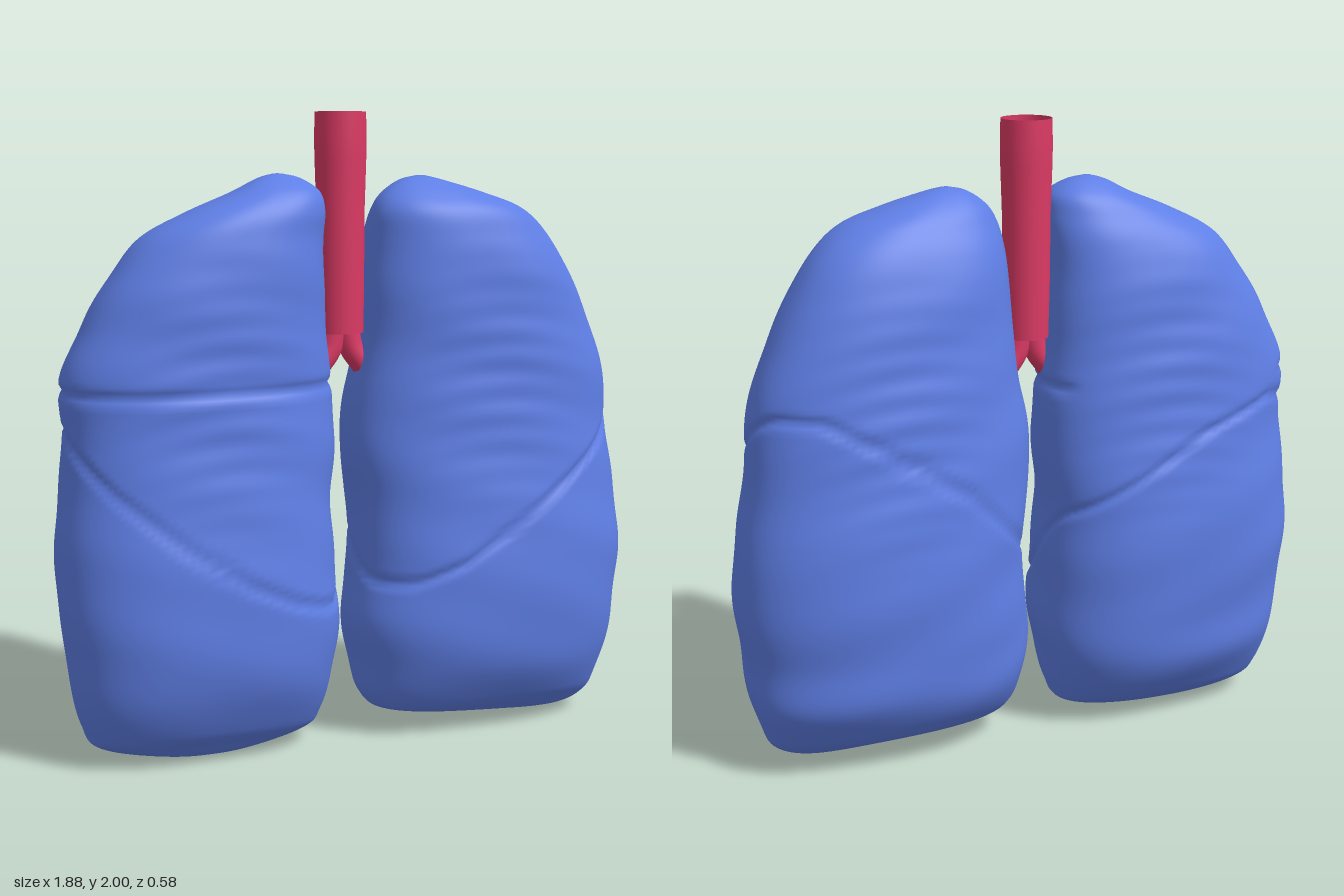
import * as THREE from 'three';

const ROWS = 195, SIDES = 120;

// Cross-section keys, bottom to top: [y, xMin, xMax, zBack, zFront]
const RIGHT_KEYS = [
  [0.005, -0.52, -0.48, 0.03, 0.06], [0.02, -0.66, -0.33, -0.04, 0.11], [0.06, -0.84, -0.15, -0.12, 0.15],
  [0.12, -0.88, -0.11, -0.18, 0.2], [0.25, -0.91, -0.075, -0.255, 0.26], [0.4, -0.925, -0.055, -0.27, 0.285],
  [0.6, -0.942, -0.065, -0.285, 0.285], [0.8, -0.93, -0.075, -0.275, 0.265], [1.0, -0.91, -0.06, -0.25, 0.245],
  [1.2, -0.912, -0.075, -0.23, 0.235], [1.36, -0.845, -0.09, -0.21, 0.23], [1.5, -0.765, -0.1, -0.19, 0.225],
  [1.62, -0.67, -0.1, -0.155, 0.205], [1.7, -0.53, -0.1, -0.11, 0.185], [1.76, -0.38, -0.115, -0.07, 0.14],
  [1.8, -0.3, -0.17, -0.02, 0.08], [1.815, -0.25, -0.23, 0.02, 0.04],
];
const LEFT_KEYS = [
  [0.025, 0.6, 0.64, 0.03, 0.05], [0.04, 0.48, 0.77, -0.04, 0.1], [0.075, 0.13, 0.84, -0.11, 0.15],
  [0.13, 0.04, 0.87, -0.18, 0.2], [0.25, 0.01, 0.905, -0.255, 0.26], [0.4, -0.01, 0.92, -0.27, 0.285],
  [0.6, 0.015, 0.938, -0.285, 0.285], [0.8, 0.005, 0.915, -0.275, 0.265], [1.0, -0.015, 0.885, -0.25, 0.245],
  [1.2, 0.015, 0.865, -0.23, 0.235], [1.36, 0.035, 0.8, -0.21, 0.23], [1.5, 0.04, 0.735, -0.19, 0.225],
  [1.62, 0.055, 0.655, -0.155, 0.205], [1.7, 0.07, 0.56, -0.11, 0.185], [1.75, 0.1, 0.43, -0.07, 0.14],
  [1.79, 0.16, 0.3, -0.02, 0.08], [1.805, 0.22, 0.24, 0.02, 0.04],
];

// Oblique fissure heights by distance from the midline: [|x|, y]
const FISSURES = {
  right: {
    front: [[0.06, 0.48], [0.15, 0.49], [0.25, 0.52], [0.4, 0.59], [0.6, 0.72], [0.8, 0.88], [0.92, 1.01]],
    back: [[0.06, 0.74], [0.2, 0.82], [0.55, 1.02], [0.8, 1.1], [0.92, 1.07]],
  },
  left: {
    front: [[0.0, 0.53], [0.15, 0.54], [0.3, 0.6], [0.5, 0.73], [0.7, 0.87], [0.9, 1.03]],
    back: [[0.0, 0.65], [0.25, 0.9], [0.53, 1.08], [0.7, 1.17], [0.88, 1.18]],
  },
};

function heightAt(points, x) {
  if (x <= points[0][0]) return points[0][1];
  for (let i = 1; i < points.length; i++) {
    const [x0, y0] = points[i - 1], [x1, y1] = points[i];
    if (x <= x1) return y0 + (y1 - y0) * (x - x0) / (x1 - x0);
  }
  return points[points.length - 1][1];
}

const bell = (d, width) => Math.exp(-(d * d) / (width * width));
const superPower = (v, p) => Math.sign(v) * Math.abs(v) ** p;

// Depth of fissures, rib impressions and soft unevenness at a surface point
function reliefAt(side, x, y, z) {
  const ax = Math.abs(x), f = FISSURES[side];
  const front = THREE.MathUtils.smoothstep(z, -0.15, 0.17);
  const oblique = THREE.MathUtils.lerp(heightAt(f.back, ax), heightAt(f.front, ax), front);
  let d = -0.013 * bell(y - oblique, 0.014);
  if (side === 'right') d -= 0.013 * bell(y - 1.172, 0.014) * THREE.MathUtils.smoothstep(z, -0.17, -0.1);
  const ribs = bell(ax - 0.45, 0.2) * bell(y - 1.15, 0.3);
  d += 0.0025 * ribs * Math.sin((y + 0.6 * (ax - 0.42) ** 2) * 72);
  d += 0.004 * Math.sin(9 * x + 11 * y) * Math.sin(13 * y - 8 * z + 1);
  return d;
}

function lungGeometry(side, keys) {
  const widths = new THREE.CatmullRomCurve3(keys.map(k => new THREE.Vector3(k[1], k[0], k[2])), false, 'catmullrom');
  const depths = new THREE.CatmullRomCurve3(keys.map(k => new THREE.Vector3(k[3], k[0], k[4])), false, 'catmullrom');
  const positions = [], indices = [];
  for (let i = 0; i <= ROWS; i++) {
    const w = widths.getPoint(i / ROWS), d = depths.getPoint(i / ROWS);
    const closed = i === 0 || i === ROWS ? 0 : 1;
    const cx = (w.x + w.z) / 2, hx = closed * (w.z - w.x) / 2;
    const cz = (d.x + d.z) / 2, hz = closed * (d.z - d.x) / 2;
    for (let j = 0; j < SIDES; j++) {
      const a = j / SIDES * Math.PI * 2, c = Math.cos(a), s = Math.sin(a);
      const x = cx + hx * superPower(c, 0.82), z = cz + hz * superPower(s, 0.82);
      const r = reliefAt(side, x, w.y, z) * Math.min(1, hz / 0.1);
      positions.push(x + c * r, w.y, z + s * r);
      if (i < ROWS) {
        const p = i * SIDES + j, q = i * SIDES + (j + 1) % SIDES;
        indices.push(p, p + SIDES, q, p + SIDES, q + SIDES, q);
      }
    }
  }
  const g = new THREE.BufferGeometry();
  g.setAttribute('position', new THREE.Float32BufferAttribute(positions, 3));
  g.setIndex(indices);
  g.computeVertexNormals();
  return g;
}

export function createModel() {
  const lungBlue = new THREE.MeshStandardMaterial({ color: 0x5f7fe6 });
  lungBlue.name = 'lungBlue';
  const airwayRed = new THREE.MeshStandardMaterial({ color: 0xdb3a64, side: THREE.DoubleSide });
  airwayRed.name = 'airwayRed';

  const model = new THREE.Group();
  model.name = 'lungs';
  const add = (name, geometry, material) => {
    const mesh = new THREE.Mesh(geometry, material);
    mesh.name = name;
    model.add(mesh);
    return mesh;
  };

  add('rightLung', lungGeometry('right', RIGHT_KEYS), lungBlue);
  add('leftLung', lungGeometry('left', LEFT_KEYS), lungBlue);

  // Open windpipe, slightly wider at the top
  const profile = [[0.072, 1.32], [0.074, 1.5], [0.075, 1.7], [0.08, 1.86], [0.081, 1.92], [0.079, 2]]
    .map(p => new THREE.Vector2(...p));
  add('trachea', new THREE.LatheGeometry(profile, 32), airwayRed).position.set(-0.033, 0, 0.022);

  // Two short branches leading into the lungs
  for (const [name, s] of [['rightBronchus', -1], ['leftBronchus', 1]]) {
    const path = new THREE.CatmullRomCurve3([
      new THREE.Vector3(-0.033 + s * 0.022, 1.33, 0.022),
      new THREE.Vector3(-0.033 + s * 0.036, 1.27, 0.022),
      new THREE.Vector3(-0.033 + s * 0.075, 1.215, 0.022),
    ]);
    add(name, new THREE.TubeGeometry(path, 10, 0.038, 20, false), airwayRed);
  }
  return model;
}
